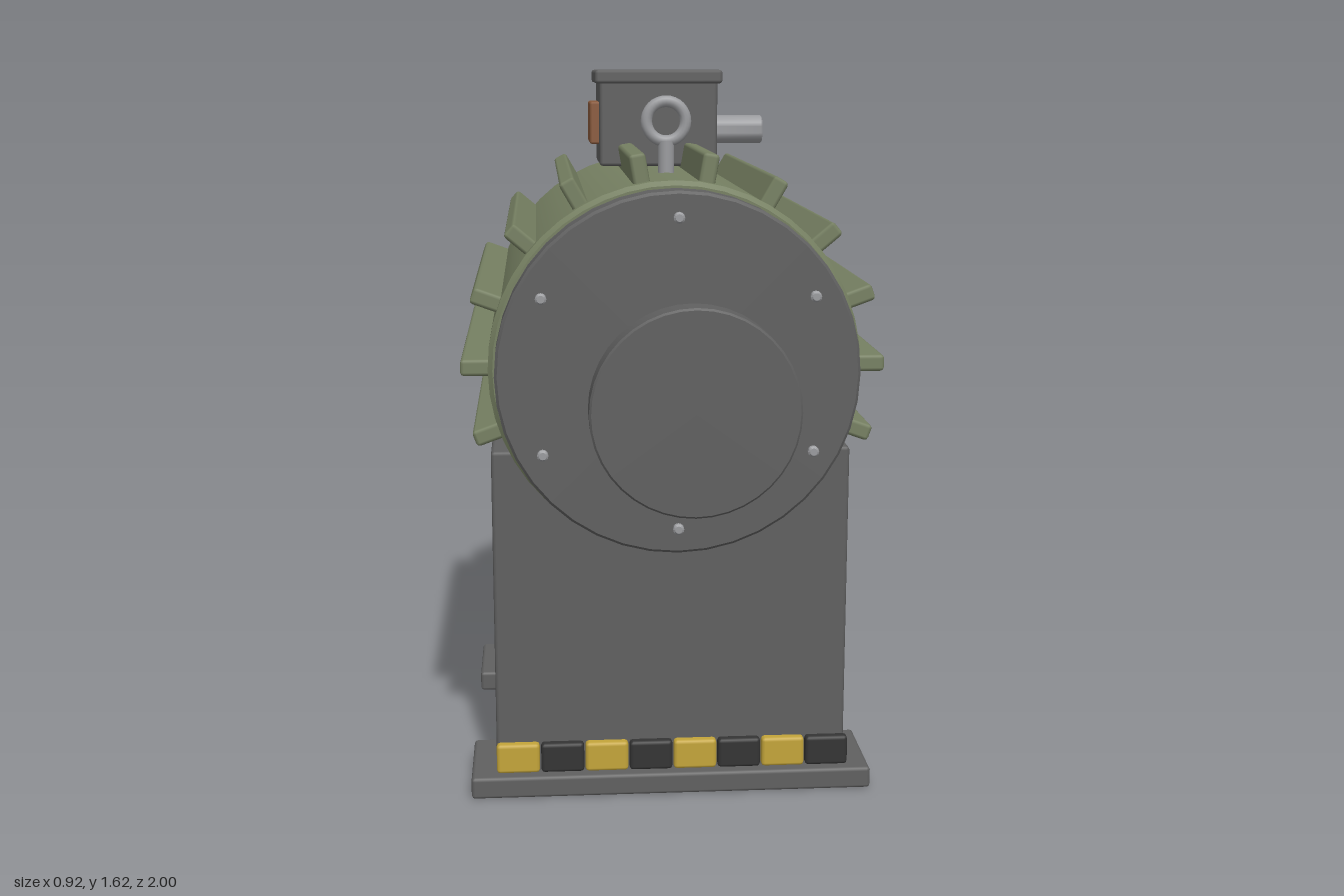
import * as THREE from 'three';
import { toCreasedNormals } from 'three/addons/utils/BufferGeometryUtils.js';
import { RoundedBoxGeometry } from 'three/addons/geometries/RoundedBoxGeometry.js';

const paint = (name, color) => {
  const m = new THREE.MeshStandardMaterial({ color });
  m.name = name;
  return m;
};

export function createModel() {
  const green = paint('casing green', 0x768062);
  const grey = paint('dark grey', 0x606060);
  const steel = paint('steel', 0x9a9b9e);
  const copper = paint('copper', 0x8a5a3c);
  const yellow = paint('hazard yellow', 0xc4a53a);
  const black = paint('hazard black', 0x343434);

  const model = new THREE.Group();
  model.name = 'electricMotor';
  const axisY = 1;

  const add = (parent, name, geometry, material, x = 0, y = 0, z = 0) => {
    const mesh = new THREE.Mesh(geometry, material);
    mesh.name = name;
    mesh.position.set(x, y, z);
    parent.add(mesh);
    return mesh;
  };
  const box = (w, h, d, bevel = 0.008) => new RoundedBoxGeometry(w, h, d, 1, bevel);

  // Solid disc with bevelled rims, running along z from z0 to z1
  const drum = (r, z0, z1, bevel = 0.006, segments = 40) => {
    const profile = [[0, z0], [r - bevel, z0], [r, z0 + bevel], [r, z1 - bevel], [r - bevel, z1], [0, z1]]
      .map(([a, b]) => new THREE.Vector2(a, b));
    const g = new THREE.LatheGeometry(profile, segments);
    g.rotateX(Math.PI / 2);
    return toCreasedNormals(g, 0.6);
  };

  // Casing with cooling fins every 20 degrees
  add(model, 'casing', drum(0.4, -0.52, 0.52, 0.01, 48), green, 0, axisY, 0);
  for (let i = 0; i < 12; i++) {
    const a = THREE.MathUtils.degToRad(-20 + i * 20);
    const r = 0.42;
    const fin = add(model, 'coolingFin', box(0.08, 0.036, 0.96), green,
      Math.cos(a) * r, axisY + Math.sin(a) * r, 0);
    fin.rotation.z = a;
  }

  // Matching end assemblies: cover, collar, shaft, coupling, key and bolts
  for (const [name, turn] of [['frontEnd', 0], ['backEnd', Math.PI]]) {
    const end = new THREE.Group();
    end.name = name;
    end.position.y = axisY;
    end.rotation.y = turn;
    model.add(end);
    add(end, 'endCover', drum(0.385, 0.51, 0.6), grey);
    add(end, 'bearingCollar', drum(0.138, 0.59, 0.67), grey);
    add(end, 'shaft', drum(0.116, 0.6, 0.9, 0.002), steel);
    add(end, 'couplingHub', drum(0.156, 0.82, 0.94), grey);
    add(end, 'couplingFlange', drum(0.2, 0.93, 1, 0.004), grey);
    add(end, 'shaftKey', box(0.044, 0.035, 0.175, 0.005), copper, 0, 0.127, 0.6875);
    for (let i = 0; i < 6; i++) {
      const a = Math.PI / 2 + i * Math.PI / 3;
      add(end, 'coverBolt', drum(0.012, 0.59, 0.613, 0.004, 12), steel,
        Math.cos(a) * 0.33, Math.sin(a) * 0.33, 0);
    }
    for (let i = 0; i < 4; i++) {
      const a = Math.PI / 4 + i * Math.PI / 2;
      add(end, 'couplingBolt', drum(0.01, 0.915, 0.935, 0.003, 10), steel,
        Math.cos(a) * 0.16, Math.sin(a) * 0.16, 0);
    }
  }

  // Pedestals and their base plates
  for (const z of [0.34, -0.34]) {
    add(model, 'pedestal', box(0.8, 0.76, 0.154), grey, 0, 0.42, z);
    add(model, 'basePlate', box(0.915, 0.05, 0.234), grey, 0, 0.025, z);
  }

  // Hazard strip along the front
  for (let i = 0; i < 8; i++) {
    add(model, 'hazardBlock', box(0.097, 0.068, 0.028), i % 2 ? black : yellow,
      -0.35 + i * 0.1, 0.104, 0.466);
  }

  // Terminal box with lid, conduit stub and side plate
  const terminal = new THREE.Group();
  terminal.name = 'terminalBox';
  terminal.position.set(0, 0, -0.105);
  model.add(terminal);
  add(terminal, 'boxBody', box(0.28, 0.2, 0.236), grey, 0, 1.5, 0);
  add(terminal, 'boxLid', box(0.302, 0.032, 0.26), grey, 0, 1.609, 0);
  const conduit = add(terminal, 'conduit', drum(0.034, 0.12, 0.26, 0.003, 24), steel, 0, 1.482, 0);
  conduit.rotation.y = Math.PI / 2;
  add(terminal, 'sidePlate', box(0.03, 0.1, 0.15, 0.006), copper, -0.147, 1.5, 0);

  // Lifting eye
  add(model, 'liftingEyeStem', new THREE.CylinderGeometry(0.018, 0.018, 0.09, 20), steel, 0, 1.425, 0.24);
  add(model, 'liftingEyeRing', new THREE.TorusGeometry(0.044, 0.013, 12, 32), steel, 0, 1.513, 0.24);

  return model;
}
